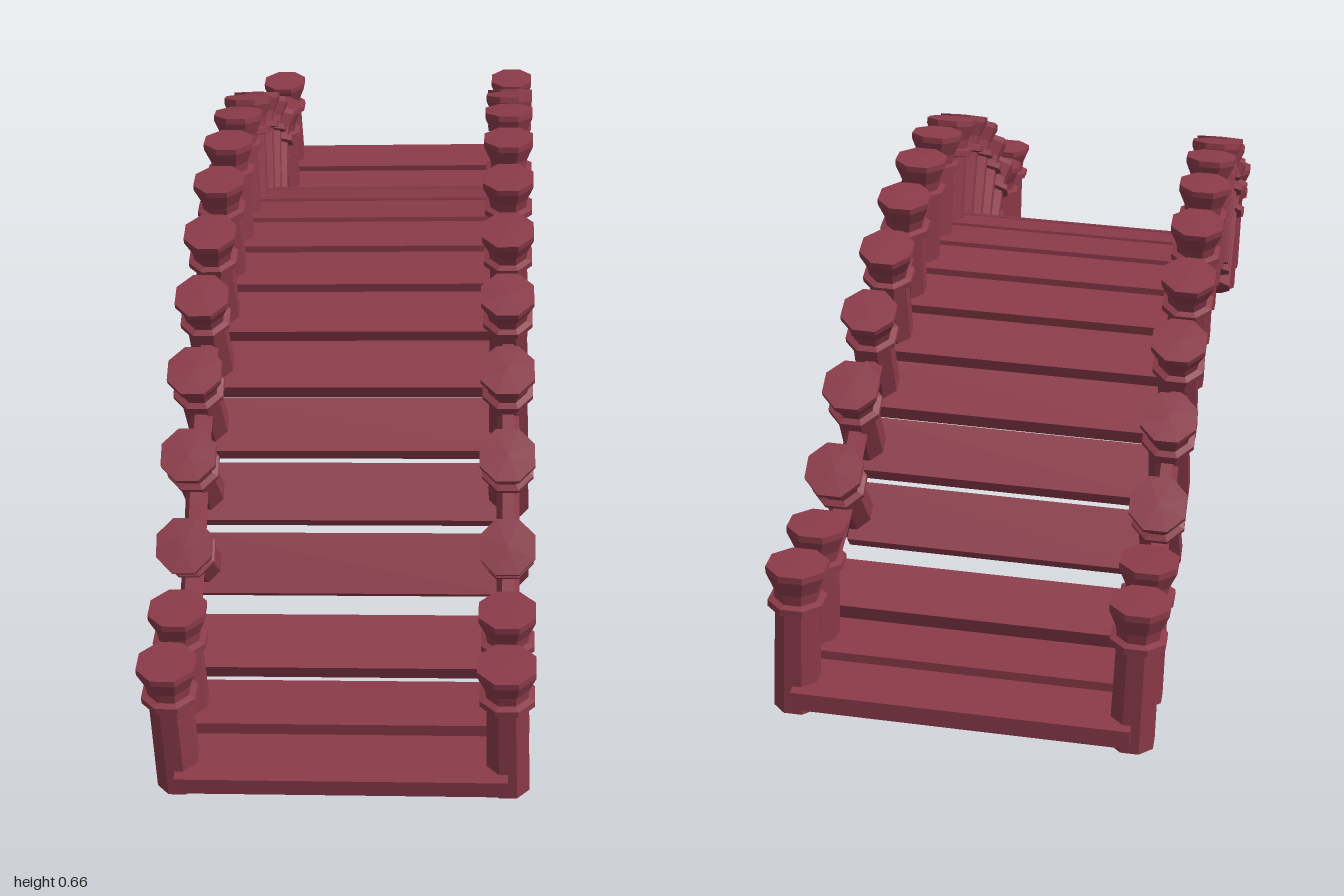
import * as THREE from 'three';

const HALF_WIDTH = 0.263;
const RAIL_HEIGHT = 0.135;
const ARCH_RADIUS = 0.874;
const RISE = 0.34;
const STEP = THREE.MathUtils.degToRad(7.8);

// Stations along the deck: position (s, y), tilt and whether posts stand there
function makeStations() {
  const half = [
    { s: -1.0, y: 0, tilt: 0, posts: true },
    { s: -0.873, y: 0, tilt: 0, posts: true },
    { s: -0.735, y: 0.026, tilt: 0.3, posts: false },
  ];
  for (let i = 5; i >= 0; i--) {
    const a = (i + 0.5) * STEP;
    half.push({
      s: -ARCH_RADIUS * Math.sin(a),
      y: RISE - ARCH_RADIUS * (1 - Math.cos(a)),
      tilt: a,
      posts: true,
    });
  }
  const mirrored = half.map((p) => ({ ...p, s: -p.s, tilt: -p.tilt })).reverse();
  return [...half, ...mirrored];
}

export function createModel() {
  const model = new THREE.Group();
  model.name = 'archedFootbridge';
  const bridge = new THREE.Group();
  bridge.name = 'bridge';
  model.add(bridge);

  const material = new THREE.MeshStandardMaterial({ color: 0x8c3b4a, flatShading: true });
  const stations = makeStations();

  // Eight-sided post with a collar ring and a flared cap
  const profile = [
    [0, 0], [0.037, 0], [0.035, 0.176], [0.046, 0.179], [0.046, 0.19],
    [0.035, 0.193], [0.037, 0.21], [0.049, 0.238], [0.049, 0.249], [0, 0.251],
  ].map(([x, y]) => new THREE.Vector2(x, y));
  const postGeometry = new THREE.LatheGeometry(profile, 8, Math.PI / 8);
  const plankGeometry = new THREE.BoxGeometry(0.104, 0.03, HALF_WIDTH * 2);

  for (const { s, y, tilt, posts } of stations) {
    const section = new THREE.Group();
    section.name = 'deckSection';
    section.position.set(s, y, 0);
    section.rotation.z = tilt;
    bridge.add(section);

    const plank = new THREE.Mesh(plankGeometry, material);
    plank.name = 'plank';
    plank.position.y = 0.035;
    section.add(plank);

    if (!posts) continue;
    for (const side of [-1, 1]) {
      const post = new THREE.Mesh(postGeometry, material);
      post.name = 'post';
      post.position.z = side * HALF_WIDTH;
      section.add(post);
    }
  }

  // Handrails threaded through the posts on both sides
  for (const side of [-1, 1]) {
    const path = new THREE.CatmullRomCurve3(stations.map(({ s, y, tilt }) => new THREE.Vector3(
      s - Math.sin(tilt) * RAIL_HEIGHT,
      y + Math.cos(tilt) * RAIL_HEIGHT,
      side * HALF_WIDTH,
    )));
    const rail = new THREE.Mesh(new THREE.TubeGeometry(path, 68, 0.019, 6), material);
    rail.name = 'handrail';
    bridge.add(rail);
  }

  // Diagonal heading with a slight slope along and across the deck
  const along = new THREE.Vector3(0.6216, -0.0425, 0.7835).normalize();
  const across = new THREE.Vector3(-0.7835, -0.038, 0.6216);
  const up = across.clone().cross(along).normalize();
  across.crossVectors(along, up);
  bridge.quaternion.setFromRotationMatrix(new THREE.Matrix4().makeBasis(along, up, across));

  // Centre the bridge and stand it on the ground
  bridge.updateMatrixWorld(true);
  const box = new THREE.Box3().setFromObject(bridge, true);
  const centre = box.getCenter(new THREE.Vector3());
  bridge.position.set(-centre.x, -box.min.y, -centre.z);
  return model;
}
